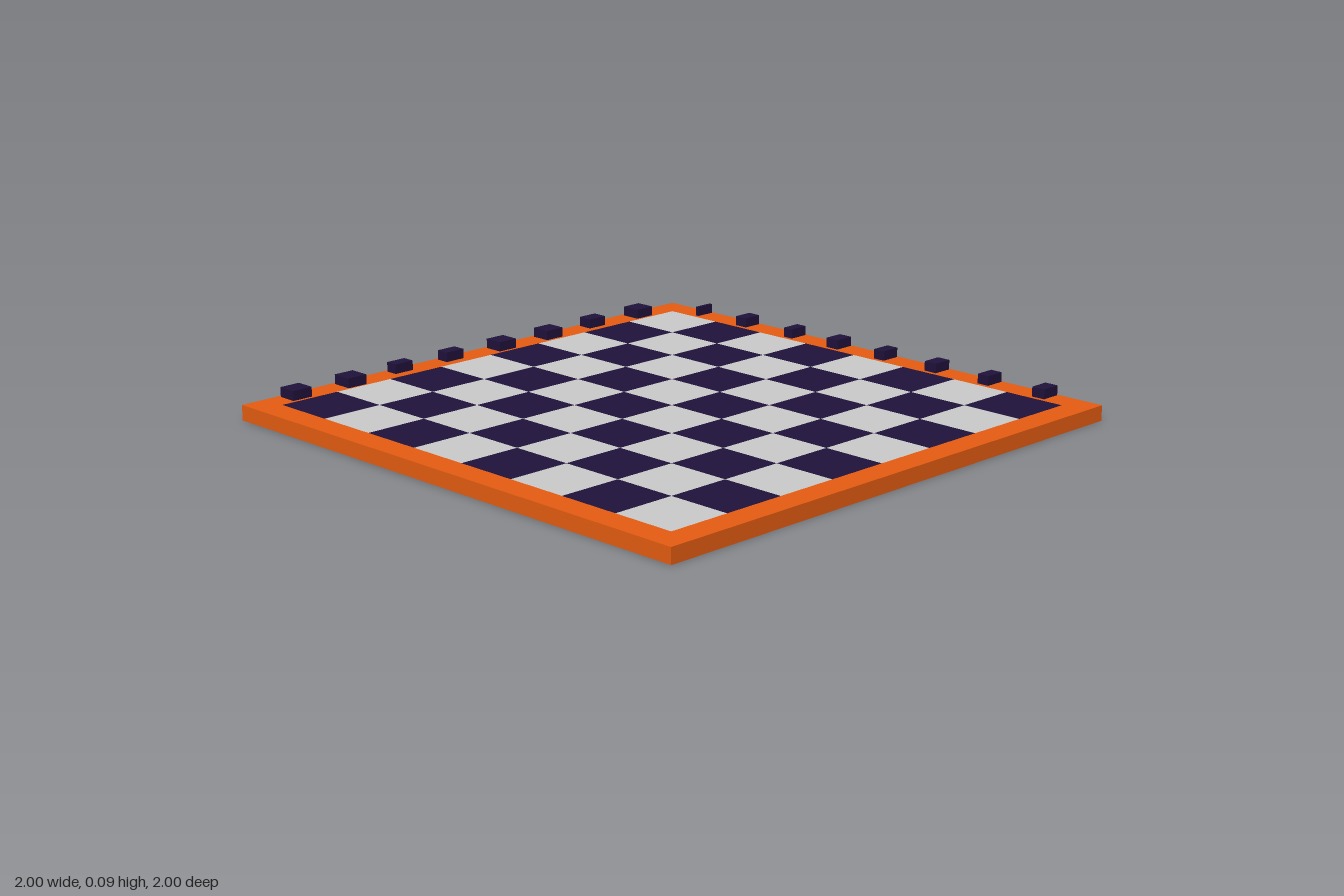
import * as THREE from 'three';

const THICK = 0.053, INNER = 0.906, CELL = (INNER * 2) / 8;

export function createModel() {
  const board = new THREE.Group();
  board.name = 'checkeredBoard';
  const orange = new THREE.MeshStandardMaterial({ color: 0xe65c12 });
  const dark = new THREE.MeshStandardMaterial({ color: 0x20123b });
  const light = new THREE.MeshStandardMaterial({ color: 0xcccccc });

  const addBox = (parent, name, mat, w, h, d, x, y, z) => {
    const mesh = new THREE.Mesh(new THREE.BoxGeometry(w, h, d), mat);
    mesh.name = name;
    mesh.position.set(x, y, z);
    parent.add(mesh);
  };
  const square = (path, r) =>
    path.moveTo(-r, -r).lineTo(r, -r).lineTo(r, r).lineTo(-r, r).closePath();

  // Border: a square ring, laid flat
  const ring = square(new THREE.Shape(), 1);
  ring.holes.push(square(new THREE.Path(), INNER));
  const frameGeo = new THREE.ExtrudeGeometry(ring, { depth: THICK, bevelEnabled: false });
  frameGeo.rotateX(-Math.PI / 2);
  const frame = new THREE.Mesh(frameGeo, orange);
  frame.name = 'frame';
  board.add(frame);

  // Playing squares, full thickness so the pattern shows underneath too
  const squares = new THREE.Group();
  squares.name = 'squares';
  board.add(squares);
  for (let row = 0; row < 8; row++) {
    for (let col = 0; col < 8; col++) {
      const isLight = (row + col) % 2 === 0;
      addBox(squares, isLight ? 'lightSquare' : 'darkSquare', isLight ? light : dark,
        CELL, THICK, CELL,
        -INNER + (col + 0.5) * CELL, THICK / 2, -INNER + (row + 0.5) * CELL);
    }
  }

  // Plain raised markers along the back edge (columns) and right edge (rows)
  const markers = new THREE.Group();
  markers.name = 'edgeMarkers';
  board.add(markers);
  const h = 0.034, y = THICK + h / 2;
  const columns = [[-0.79, 0.012], [-0.565, 0.05], [-0.33, 0.04], [-0.117, 0.053],
    [0.103, 0.045], [0.335, 0.05], [0.565, 0.045], [0.797, 0.05]];
  for (const [x, w] of columns) addBox(markers, 'columnMarker', dark, w, h, 0.072, x, y, -0.958);
  const rowWidths = [0.072, 0.055, 0.07, 0.07, 0.048, 0.045, 0.075, 0.07];
  rowWidths.forEach((w, i) =>
    addBox(markers, 'rowMarker', dark, w, h, 0.076, -0.988 + w / 2, y, -0.77 + i * 0.2262));

  return board;
}
